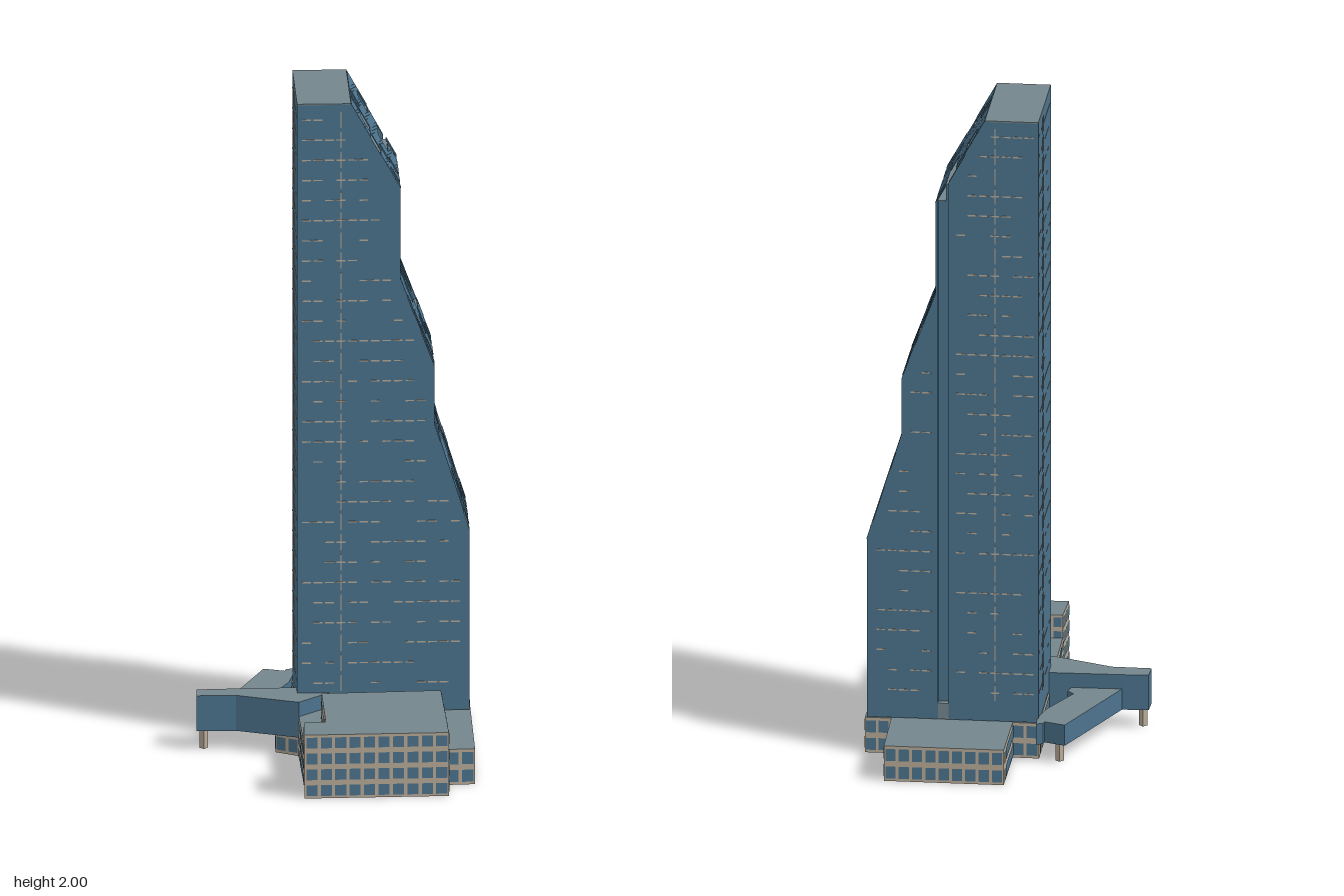
import * as THREE from 'three';
import { mergeGeometries } from 'three/addons/utils/BufferGeometryUtils.js';

// Double sided, since the low blocks are open underneath
const mat = (name, color) =>
  Object.assign(new THREE.MeshStandardMaterial({ color, side: THREE.DoubleSide }), { name });

export function createModel() {
  const glass = mat('blueGlass', 0x4c738d);
  const roof = mat('greyRoof', 0x75868d);
  const frame = mat('beigeFrame', 0xb8ab98);

  const model = new THREE.Group();
  model.name = 'terracedTower';
  let seed = 7;
  const rand = () => (seed = (seed * 16807) % 2147483647) / 2147483647;
  const add = (parent, name, geo, m) => {
    const mesh = new THREE.Mesh(geo, m);
    mesh.name = name;
    parent.add(mesh);
  };
  const planShape = (plan) => new THREE.Shape(plan.map(([x, z]) => new THREE.Vector2(x, -z)));
  const flat = (plan, y) => new THREE.ShapeGeometry(planShape(plan)).rotateX(-Math.PI / 2).translate(0, y, 0);

  // Solid upright prism over a ground plan of [x, z] points, with a grey roof
  function prism(name, plan, y0, y1) {
    const geo = new THREE.ExtrudeGeometry(planShape(plan), { depth: y1 - y0, bevelEnabled: false });
    add(model, name, geo.rotateX(-Math.PI / 2).translate(0, y0, 0), [roof, glass]);
  }

  // Open-bottomed block: roof, walls and window grid. Per edge: o = outer wall, i = wall above the podium only
  function block(name, plan, h, edges) {
    const next = (i) => plan[(i + 1) % plan.length];
    const area = plan.reduce((s, p, i) => s + p[0] * next(i)[1] - next(i)[0] * p[1], 0);
    const walls = [], panes = [];
    plan.forEach((a, i) => {
      const y0 = edges[i] === 'o' ? 0 : 0.11;
      if (h - y0 < 0.005) return;
      const b = next(i);
      const dx = b[0] - a[0], dz = b[1] - a[1], len = Math.hypot(dx, dz);
      const s = Math.sign(area) / len, nx = dz * s, nz = -dx * s;
      const place = (w, tall, t, y, off) => new THREE.PlaneGeometry(w, tall)
        .rotateY(Math.atan2(nx, nz))
        .translate(a[0] + dx * t + nx * off, y, a[1] + dz * t + nz * off);
      walls.push(place(len, h - y0, 0.5, (h + y0) / 2, 0));
      const rows = Math.max(1, Math.round((h - y0) / 0.05)), rowH = (h - y0) / rows;
      const cols = Math.max(1, Math.round(len / 0.042));
      for (let c = 0; c < cols; c++) for (let r = 0; r < rows; r++) for (const off of [0.002, -0.002]) {
        panes.push(place((len / cols) * 0.77, rowH * 0.68, (c + 0.5) / cols, y0 + (r + 0.5) * rowH, off));
      }
    });
    add(model, name + 'Walls', mergeGeometries(walls), frame);
    add(model, name + 'Windows', mergeGeometries(panes), glass);
    add(model, name + 'Roof', flat(plan, h), roof);
  }

  // Low blocks with windowed walls
  const southEast = [[0.207, -0.052], [0.42, 0.176], [0.492, 0.253], [0.18, 0.547], [0.1, 0.452], [0.145, 0.407], [-0.045, 0.198]];
  block('northWestBlock', [[-0.23, -0.55], [-0.495, -0.31], [-0.326, -0.124], [-0.058, -0.368]], 0.11, 'ooio');
  block('podium', [[-0.003, -0.424], [0.477, 0.114], [0.414, 0.178], [0.2, -0.045], [-0.02, 0.18],
    [-0.157, 0.176], [-0.388, -0.075], [-0.326, -0.13], [-0.058, -0.374]], 0.11, 'ooiiioooo');
  block('southEastBlock', southEast, 0.197, 'ioooiii');
  block('sideStrip', [[-0.096, 0.242], [-0.087, 0.108], [-0.02, 0.175], [-0.045, 0.198], [0.145, 0.407], [0.1, 0.452]], 0.125, 'oiiiio');
  block('lobby', [[-0.22, 0.17], [-0.15, 0.15], [-0.06, 0.18], [-0.1, 0.235], [-0.18, 0.25]], 0.059, 'ooooo');
  add(model, 'southEastCeiling', flat(southEast, 0.104), frame);

  // Raised glazed bridge, west canopy and the low court between them
  prism('glazedBridge', [[-0.41, 0.34], [-0.37, 0.387], [-0.282, 0.309], [-0.096, 0.242],
    [-0.087, 0.108], [-0.157, 0.172], [-0.195, 0.134], [-0.358, 0.288]], 0.06, 0.17);
  prism('westCanopy', [[-0.48, -0.055], [-0.418, -0.08], [-0.426, -0.094], [-0.416, -0.112], [-0.38, -0.075],
    [-0.338, -0.003], [-0.29, 0.148], [-0.26, 0.152], [-0.24, 0.188], [-0.35, 0.294]], 0.06, 0.125);
  prism('court', [[-0.37, -0.06], [-0.157, 0.172], [-0.185, 0.145], [-0.24, 0.188], [-0.26, 0.152],
    [-0.29, 0.148], [-0.338, -0.003]], 0.05, 0.062);
  for (const [x, z] of [[-0.372, 0.352], [-0.44, -0.04]]) {
    add(model, 'column', new THREE.BoxGeometry(0.018, 0.06, 0.018).translate(x, 0.03, z), frame);
  }

  // Tower, in its own frame: x along the stepped profile, z across its width
  const tower = new THREE.Group();
  tower.name = 'tower';
  tower.position.set(-0.385, 0, -0.075);
  tower.rotation.y = 0.736;
  model.add(tower);
  const W = 0.338, TOP = 2, LEN = 0.512, BASE = 0.112, SKIN = 0.02;
  const slopes = [
    { a: [LEN, 0.67], b: [0.408, 1.0], rows: 6, fill: 0.58 },
    { a: [0.408, 1.18], b: [0.307, 1.45], rows: 5, fill: 0.58 },
    { a: [0.307, 1.735], b: [0.16, TOP - 0.003], rows: 5, fill: 0.74 },
  ];
  const smooth = [[0, BASE], [LEN, BASE]], stepped = [[0, BASE], [LEN, BASE]];
  const treads = [], panels = [];
  const cols = 12, cw = W / cols;
  for (const { a, b, rows, fill } of slopes) {
    smooth.push(a, b);
    stepped.push(a);
    const dx = (b[0] - a[0]) / rows, dy = (b[1] - a[1]) / rows;
    for (let r = 0; r < rows; r++) {
      const x = a[0] + dx * r, y = a[1] + dy * r;
      stepped.push([x + dx, y], [x + dx, y + dy]);
      treads.push(new THREE.BoxGeometry(-dx, 0.003, W - 0.026).translate(x + dx / 2, y + 0.0005, W / 2 + 0.008));
      // Loose glass panels lying along the slope
      for (let c = 0; c < cols; c++) {
        if (rand() > fill) continue;
        const p = new THREE.BoxGeometry(0.003, Math.hypot(dx, dy), cw * 0.97);
        p.rotateZ(Math.atan2(-dx, dy)).translate(x + dx / 2, y + dy / 2, (c + 0.5) * cw);
        panels.push(p);
      }
    }
  }
  smooth.push([0, TOP - 0.003]);
  stepped.push([0, TOP - 0.003]);
  const slab = (profile, z, depth) => new THREE.ExtrudeGeometry(
    new THREE.Shape(profile.map(([x, y]) => new THREE.Vector2(x, y))), { depth, bevelEnabled: false }).translate(0, 0, z);
  add(tower, 'towerCore', slab(stepped, SKIN, W - SKIN - 0.004), glass);
  add(tower, 'southEastSideWall', slab(smooth, W - 0.004, 0.004), glass);
  // North west side wall in two parts, with a recessed slot between them
  const slot = [0.268, 0.3], slotTop = 1.8;
  add(tower, 'northWestSideWall', slab([[0, BASE], [slot[0], BASE], [slot[0], slotTop], [0.16, TOP - 0.003], [0, TOP - 0.003]], 0, SKIN), glass);
  add(tower, 'northWestSideWall', slab([[slot[1], BASE], ...smooth.slice(1, 7), [slot[1], 1.745]], 0, SKIN), glass);
  add(tower, 'slotFloor', new THREE.BoxGeometry(slot[1] - slot[0], 0.05, SKIN).translate((slot[0] + slot[1]) / 2, BASE + 0.025, SKIN / 2), roof);
  add(tower, 'terraceFloors', mergeGeometries(treads), roof);
  add(tower, 'slopePanels', mergeGeometries(panels), glass);
  add(tower, 'towerRoof', new THREE.BoxGeometry(0.16, 0.004, W).translate(0.08, TOP - 0.002, W / 2), roof);

  // Fine broken spandrel lines on the four tower walls
  const reach = (y) => {
    for (let i = 1; i < smooth.length - 1; i++) {
      const [x0, y0] = smooth[i], [x1, y1] = smooth[i + 1];
      if (y >= y0 && y < y1) return x0 + ((x1 - x0) * (y - y0)) / (y1 - y0);
    }
    return 0.16;
  };
  const dashes = [];
  const dash = (w, h, d, x, y, z) => dashes.push(new THREE.BoxGeometry(w, h, d).translate(x, y, z));
  for (let y = 0.2; y < 1.97; y += 0.0625) {
    const end = reach(y) - 0.015;
    for (let x = 0.015; x < end - 0.024; x += 0.034) {
      for (const z of [0, W]) {
        const inSlot = z === 0 && x + 0.026 > slot[0] && x < slot[1];
        if (!inSlot && rand() < 0.6) dash(0.026, 0.004, 0.002, x + 0.013, y, z);
      }
    }
    const plain = !slopes.some(({ a, b }) => y > a[1] - 0.01 && y < b[1] + 0.01);
    for (let z = 0.015; z < W - 0.03; z += 0.034) {
      if (rand() < 0.65) dash(0.002, 0.004, 0.026, 0, y, z + 0.013);
      if (plain && rand() < 0.6) dash(0.002, 0.004, 0.026, reach(y), y, z + 0.013);
    }
    // Vertical mullions in short lengths
    for (const z of [0.08, 0.115, 0.14]) dash(0.002, 0.05, 0.003, 0, y, z);
    for (const z of [0, W]) dash(0.003, 0.05, 0.002, 0.13, y, z);
    if (y < 0.64) for (const z of [0.12, 0.2]) dash(0.002, 0.05, 0.003, LEN, y, z);
  }
  add(tower, 'spandrelLines', mergeGeometries(dashes), frame);

  return model;
}
